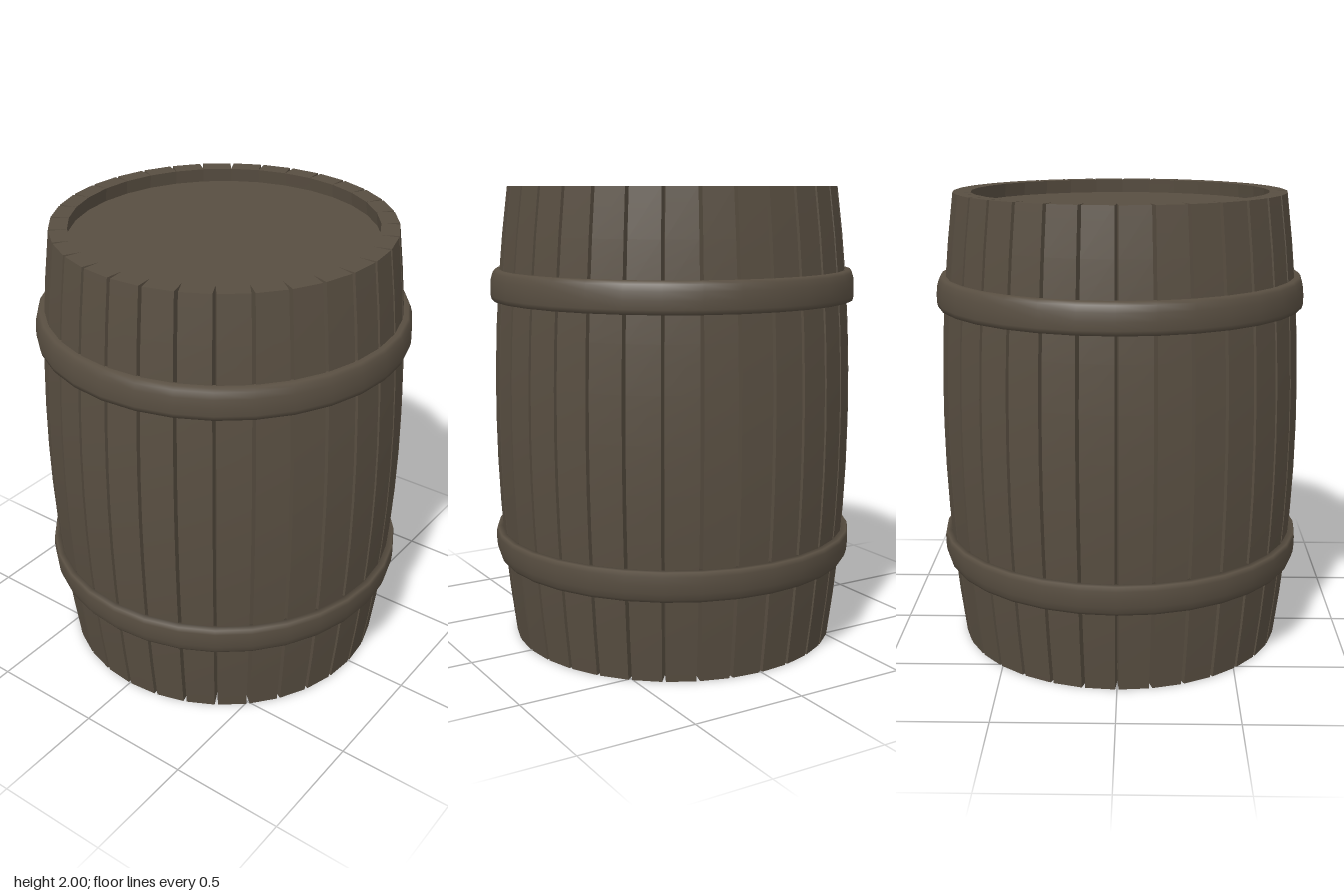
import * as THREE from 'three';

const COUNT = 32;
const STEP = (Math.PI * 2) / COUNT;
const THICK = 0.077;

// Outer face distance of a stave at height y (bulged barrel curve)
const outer = (y) => 0.787 - 0.07 * (y - 1) ** 2;

// A straight-sided plank bent along the barrel curve, touching its neighbours on the inside
function staveGeometry() {
  const g = new THREE.BoxGeometry(1, 2, 1, 1, 10, 1);
  const p = g.attributes.position;
  for (let i = 0; i < p.count; i++) {
    const y = p.getY(i) + 1;
    const inner = outer(y) - THICK;
    const width = 2 * inner * Math.tan(STEP / 2);
    p.setXYZ(i, p.getX(i) * width, y, p.getZ(i) > 0 ? outer(y) : inner);
  }
  g.computeVertexNormals();
  return g;
}

// Rounded iron band, section given from the end nearest the barrel's rim inwards
function hoopGeometry() {
  const section = [
    [0.755, -0.065], [0.782, -0.065], [0.791, -0.052], [0.799, -0.025],
    [0.802, 0.01], [0.802, 0.045], [0.797, 0.065], [0.762, 0.065], [0.755, -0.065],
  ].map(([r, y]) => new THREE.Vector2(r, y));
  return new THREE.LatheGeometry(section, COUNT);
}

export function createModel() {
  const wood = new THREE.MeshStandardMaterial({ color: 0x584e41 });
  wood.name = 'dark wood';
  const barrel = new THREE.Group();
  barrel.name = 'barrel';
  const add = (name, geometry) => {
    const mesh = new THREE.Mesh(geometry, wood);
    mesh.name = name;
    barrel.add(mesh);
    return mesh;
  };

  // Staves, with a seam on each axis
  const stave = staveGeometry();
  for (let i = 0; i < COUNT; i++) add('stave', stave).rotation.y = (i + 0.5) * STEP;

  // Hoops, the upper one turned over to mirror the lower
  const hoop = hoopGeometry();
  add('lowerHoop', hoop).position.y = 0.427;
  const upper = add('upperHoop', hoop);
  upper.position.y = 1.58;
  upper.rotation.x = Math.PI;

  // Recessed end discs
  const head = new THREE.CylinderGeometry(0.655, 0.655, 0.03, COUNT);
  add('lid', head).position.y = 1.925;
  add('base', head).position.y = 0.075;

  return barrel;
}
